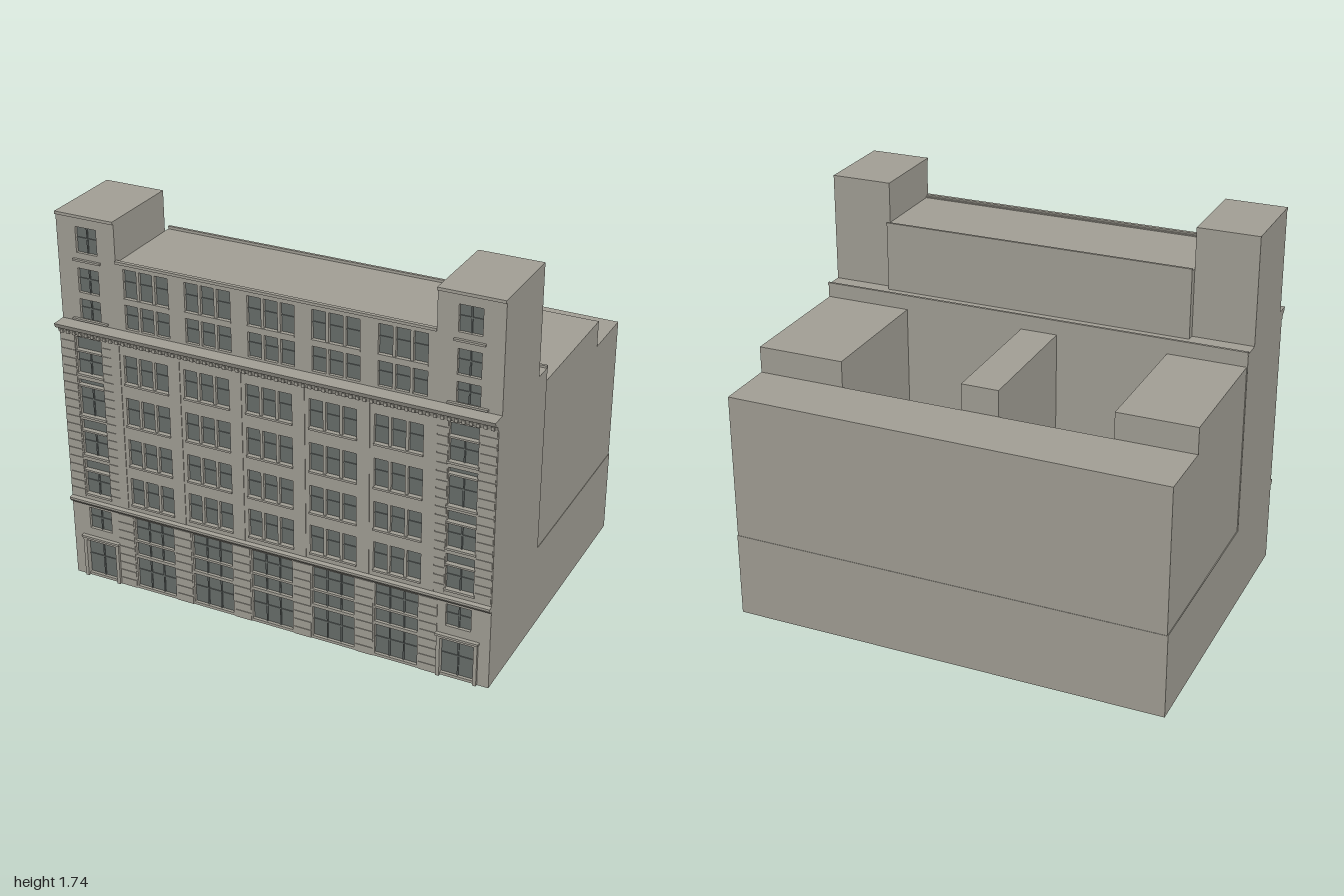
import * as THREE from 'three';

export function createModel() {
  const model = new THREE.Group();
  const stone = new THREE.MeshStandardMaterial({ color: 0xa29f95 });
  stone.name = 'stone';
  const glass = new THREE.MeshStandardMaterial({ color: 0x686e6b });
  glass.name = 'glass';

  const add = (name, geometry, material = stone, parent = model) => {
    const mesh = new THREE.Mesh(geometry, material);
    mesh.name = name;
    parent.add(mesh);
    return mesh;
  };
  const group = (name) => {
    const g = new THREE.Group();
    g.name = name;
    model.add(g);
    return g;
  };
  // Box given by its limits
  const block = (name, x0, x1, y0, y1, z0, z1, material, parent) => {
    const g = new THREE.BoxGeometry(x1 - x0, y1 - y0, z1 - z0);
    g.translate((x0 + x1) / 2, (y0 + y1) / 2, (z0 + z1) / 2);
    return add(name, g, material, parent);
  };
  // Upright prism over a plan of [x, z] corners
  const prism = (name, plan, y0, y1) => {
    const shape = new THREE.Shape(plan.map(([x, z]) => new THREE.Vector2(x, -z)));
    const g = new THREE.ExtrudeGeometry(shape, { depth: y1 - y0, bevelEnabled: false });
    g.rotateX(-Math.PI / 2).translate(0, y0, 0);
    return add(name, g);
  };
  // Moulding with a [z, y] profile running across the front
  const moulding = (name, profile) => {
    const shape = new THREE.Shape(profile.map(([z, y]) => new THREE.Vector2(z, y)));
    const g = new THREE.ExtrudeGeometry(shape, { depth: 2, bevelEnabled: false });
    g.rotateY(-Math.PI / 2).translate(1, 0, 0);
    return add(name, g);
  };

  // Openings: centre x, width, bottom, top, number of panes across
  const lower = [], upper = [];
  const bays = [-0.58, -0.29, 0, 0.29, 0.58];
  const rows = [[0.43, 0.56], [0.625, 0.75], [0.82, 0.95], [1.02, 1.15]];
  for (const x of bays) {
    for (const dx of [-0.075, 0, 0.075]) {
      for (const [a, b] of rows) lower.push([x + dx, 0.062, a, b, 1]);
      for (const [a, b] of [[1.26, 1.37], [1.4, 1.53]]) upper.push([x + dx, 0.062, a, b, 1]);
    }
    for (const [a, b] of [[0.013, 0.16], [0.175, 0.24], [0.25, 0.36]]) lower.push([x, 0.195, a, b, 3]);
  }
  const towerRows = [[0.43, 0.543, 0.595], [0.625, 0.74, 0.795], [0.82, 0.96, 0.99], [1.02, 1.125, 1.19]];
  for (const x of [-0.858, 0.858]) {
    for (const [a, b, c] of towerRows) lower.push([x, 0.123, a, b, 2], [x, 0.123, b + 0.008, c, 1]);
    lower.push([x, 0.112, 0.25, 0.355, 2], [x, 0.15, 0.013, 0.185, 2]);
    for (const [a, b] of [[1.26, 1.355], [1.385, 1.495], [1.565, 1.68]]) upper.push([x, 0.1, a, b, 2]);
  }

  // Pierced wall with recessed glazing and slim bars
  const facade = (name, outline, openings, z) => {
    const shape = new THREE.Shape(outline.map(([x, y]) => new THREE.Vector2(x, y)));
    const g = group(name + 'Windows');
    for (const [x, w, a, b, panes] of openings) {
      const l = x - w / 2, r = x + w / 2;
      shape.holes.push(new THREE.Path([[l, a], [l, b], [r, b], [r, a]].map(([u, v]) => new THREE.Vector2(u, v))));
      block('windowPane', l, r, a, b, z - 0.019, z - 0.014, glass, g);
      for (let i = 1; i < panes; i++) {
        const u = l + (w * i) / panes;
        block('windowBar', u - 0.003, u + 0.003, a, b, z - 0.014, z - 0.009, glass, g);
      }
      if (b - a > 0.09) {
        const v = a + (b - a) * 0.55;
        block('windowRail', l, r, v - 0.003, v + 0.003, z - 0.014, z - 0.01, glass, g);
      }
    }
    const wall = new THREE.ExtrudeGeometry(shape, { depth: 0.02, bevelEnabled: false });
    add(name, wall.translate(0, 0, z - 0.02));
  };
  facade('lowerFacade', [[-1, 0], [1, 0], [1, 1.24], [-1, 1.24]], lower, 0.7);
  facade('upperFacade', [[-1, 1.24], [1, 1.24], [1, 1.735], [0.72, 1.735], [0.72, 1.555],
    [-0.72, 1.555], [-0.72, 1.735], [-1, 1.735]], upper, 0.67);

  // Main masses
  block('frontBlock', -1, 1, 0, 1.24, 0.19, 0.68);
  block('atticStorey', -0.72, 0.72, 1.24, 1.55, 0.245, 0.65);
  for (const s of [-1, 1]) {
    const [x0, x1] = s < 0 ? [-1, -0.72] : [0.72, 1];
    block('cornerTower', x0, x1, 1.24, 1.735, 0.28, 0.65);
    block('towerCoping', x0, x1, 1.722, 1.735, 0.67, 0.678);
  }
  block('atticFrontCoping', -0.72, 0.72, 1.55, 1.562, 0.66, 0.677);
  block('atticRearCoping', -0.72, 0.72, 1.547, 1.562, 0.24, 0.252);
  block('roofRearCoping', -1, 1, 1.235, 1.25, 0.185, 0.197);

  // Rear: ground storey, back range and three wings around two courts
  prism('rearGroundStorey', [[-1, 0.19], [1, 0.19], [1, -0.72], [-1, -0.742]], 0, 0.39);
  prism('backRange', [[-0.996, -0.44], [0.998, -0.44], [0.998, -0.718], [-0.996, -0.74]], 0.39, 1.06);
  for (const [x0, x1] of [[-0.996, -0.64], [-0.13, 0.04], [0.6, 0.998]])
    block('rearWing', x0, x1, 0.39, 1.18, -0.44, 0.19);

  // Cornice, dentils and belt course
  moulding('mainCornice', [[0.67, 1.2], [0.707, 1.2], [0.715, 1.222], [0.732, 1.23], [0.74, 1.25], [0.67, 1.25]]);
  const dentils = group('dentils');
  for (let i = 0; i < 66; i++) {
    const x = -0.98 + (i * 1.96) / 65;
    block('dentil', x - 0.007, x + 0.007, 1.203, 1.218, 0.7, 0.718, stone, dentils);
  }
  moulding('beltCourse', [[0.69, 0.372], [0.71, 0.372], [0.72, 0.385], [0.72, 0.395], [0.69, 0.4]]);

  // Pilasters between the bays
  for (const x of [-0.725, -0.435, -0.145, 0.145, 0.435, 0.725])
    block('pilaster', x - 0.02, x + 0.02, 0.4, 1.2, 0.699, 0.703);

  // Sills
  const sills = group('sills');
  for (const x of bays) {
    for (const [a] of rows) block('sill', x - 0.108, x + 0.108, a - 0.009, a, 0.698, 0.707, stone, sills);
    block('atticSill', x - 0.108, x + 0.108, 1.392, 1.4, 0.668, 0.674, stone, sills);
  }

  // Corner bays: coursed stone, window heads, sills and doorways
  for (const s of [-1, 1]) {
    const c = 0.858 * s;
    const bay = group('cornerBayTrim');
    for (let y = 0.41; y < 1.18; y += 0.04)
      for (const [u, w] of [[-0.09, 0.048], [0.103, 0.07]])
        block('stoneCourse', c + s * u - w / 2, c + s * u + w / 2, y, y + 0.034, 0.699, 0.703, stone, bay);
    for (const [a, b] of towerRows) {
      block('windowHead', c - 0.065, c + 0.065, b, b + 0.008, 0.69, 0.708, stone, bay);
      block('sill', c - 0.068, c + 0.068, a - 0.01, a, 0.698, 0.708, stone, bay);
    }
    for (const y of [1.262, 1.535])
      block('towerSill', c - (y > 1.5 ? 0.066 : 0.085), c + (y > 1.5 ? 0.066 : 0.085), y - 0.006, y + 0.003, 0.668, 0.682, stone, bay);
    for (const d of [-1, 1]) {
      const x = c + d * 0.083;
      block('doorJamb', x - 0.008, x + 0.008, 0, 0.195, 0.69, 0.712, stone, bay);
    }
    block('doorLintel', c - 0.091, c + 0.091, 0.188, 0.2, 0.69, 0.712, stone, bay);
    block('doorHood', c - 0.096, c + 0.096, 0.2, 0.21, 0.69, 0.718, stone, bay);
  }

  // Ground-floor coursed piers between the shopfronts
  const piers = group('groundPiers');
  for (const x of [-0.725, -0.435, -0.145, 0.145, 0.435, 0.725])
    for (let i = 0; i < 9; i++)
      block('pierCourse', x - 0.04, x + 0.04, i * 0.041, i * 0.041 + 0.036, 0.699, 0.703, stone, piers);

  return model;
}
